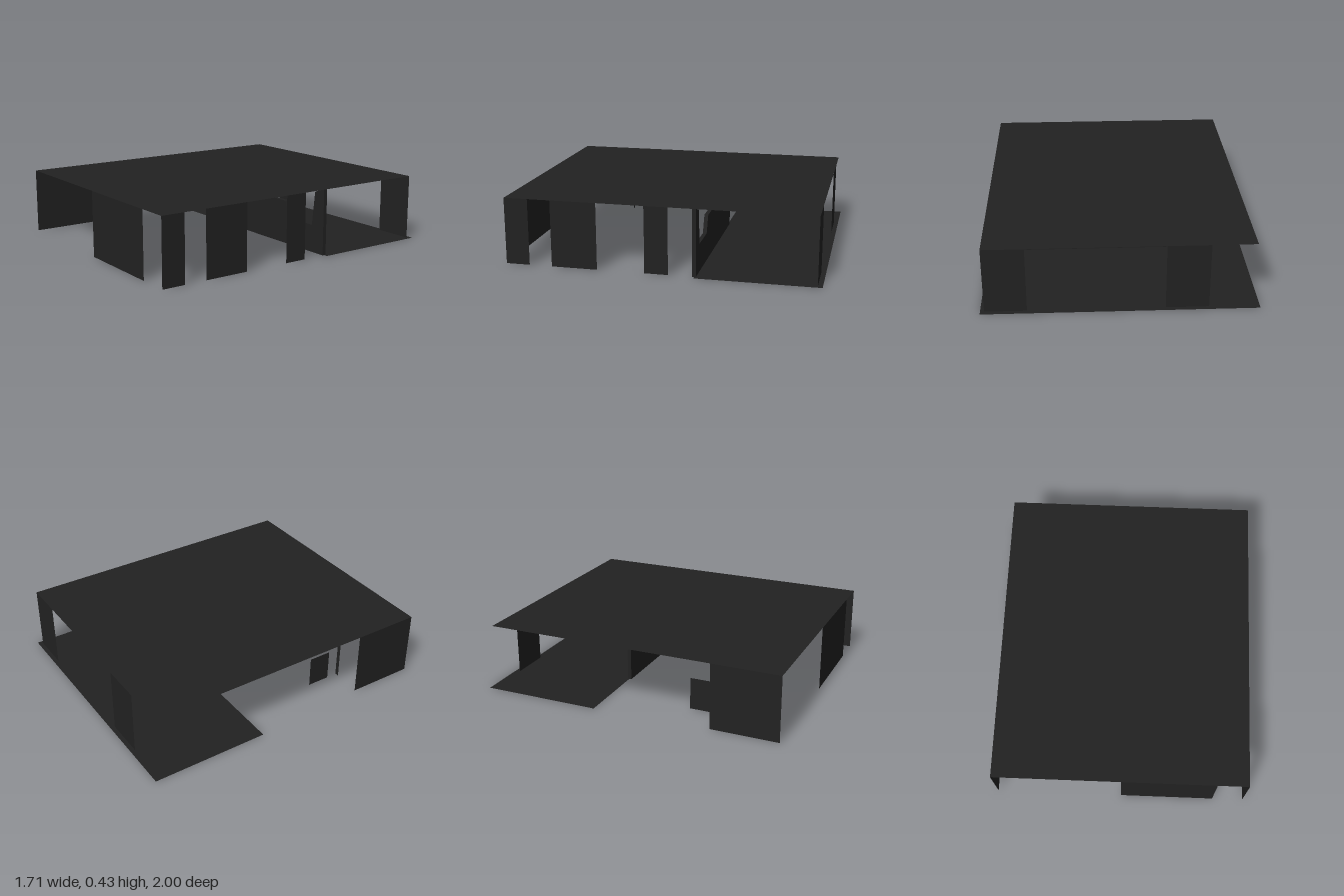
import * as THREE from 'three';

export function createModel() {
  const model = new THREE.Group();
  const charcoal = new THREE.MeshStandardMaterial({ color: 0x222222, side: THREE.DoubleSide });
  charcoal.name = 'charcoal';
  const H = 0.43;

  const add = (name, geometry, x = 0, y = 0, z = 0) => {
    const mesh = new THREE.Mesh(geometry, charcoal);
    mesh.name = name;
    mesh.position.set(x, y, z);
    model.add(mesh);
  };

  // Flat slab lying in the ground plane direction
  const slab = (name, x0, x1, z0, z1, y) =>
    add(name, new THREE.PlaneGeometry(x1 - x0, z1 - z0).rotateX(-Math.PI / 2), (x0 + x1) / 2, y, (z0 + z1) / 2);

  // Upright sheet running along x
  const wallX = (name, x0, x1, z, h = H) =>
    add(name, new THREE.PlaneGeometry(x1 - x0, h), (x0 + x1) / 2, h / 2, z);

  // Upright sheet running along z
  const wallZ = (name, x, z0, z1, h = H) =>
    add(name, new THREE.PlaneGeometry(z1 - z0, h).rotateY(Math.PI / 2), x, h / 2, (z0 + z1) / 2);

  const outline = (points) => new THREE.Shape(points.map(([x, y]) => new THREE.Vector2(x, y)));

  slab('roof', -0.82, 0.83, -0.97, 1, H);
  slab('terraceFloor', -0.855, 0.855, -1, -0.22, 0);

  // Outer walls, separated by open gaps
  wallX('frontWall', 0.012, 0.627, 1);
  wallX('backWallLeft', 0.57, 0.83, -0.97);
  wallX('backWallRight', -0.543, -0.276, -0.97);
  [[0.845, 1], [0.4, 0.697], [-0.055, 0.095]].forEach(([z0, z1]) => wallZ('leftSideWall', 0.83, z0, z1));
  wallZ('rightSideWall', -0.82, 0.555, 1);

  // Inner wall with a wide stepped opening
  const inner = outline([
    [-0.352, 0], [0.83, 0], [0.83, H], [0.76, 0.41], [0.745, 0.4], [0.72, 0.18],
    [0.5, 0.18], [0.45, 0.29], [-0.187, 0.29], [-0.2, 0.39], [-0.28, 0.41], [-0.352, 0.428],
  ]);
  add('innerWall', new THREE.ExtrudeGeometry(inner, { depth: 0.025, bevelEnabled: false }), 0, 0, -0.23);

  // Low partition and narrow slanted post near the right side
  wallZ('lowPartition', -0.605, 0.337, 0.492, 0.21);
  add('slantedPost', new THREE.ShapeGeometry(outline([[-0.63, 0], [-0.602, 0], [-0.602, 0.27], [-0.63, 0.3]])), 0, 0, 0.566);

  return model;
}
